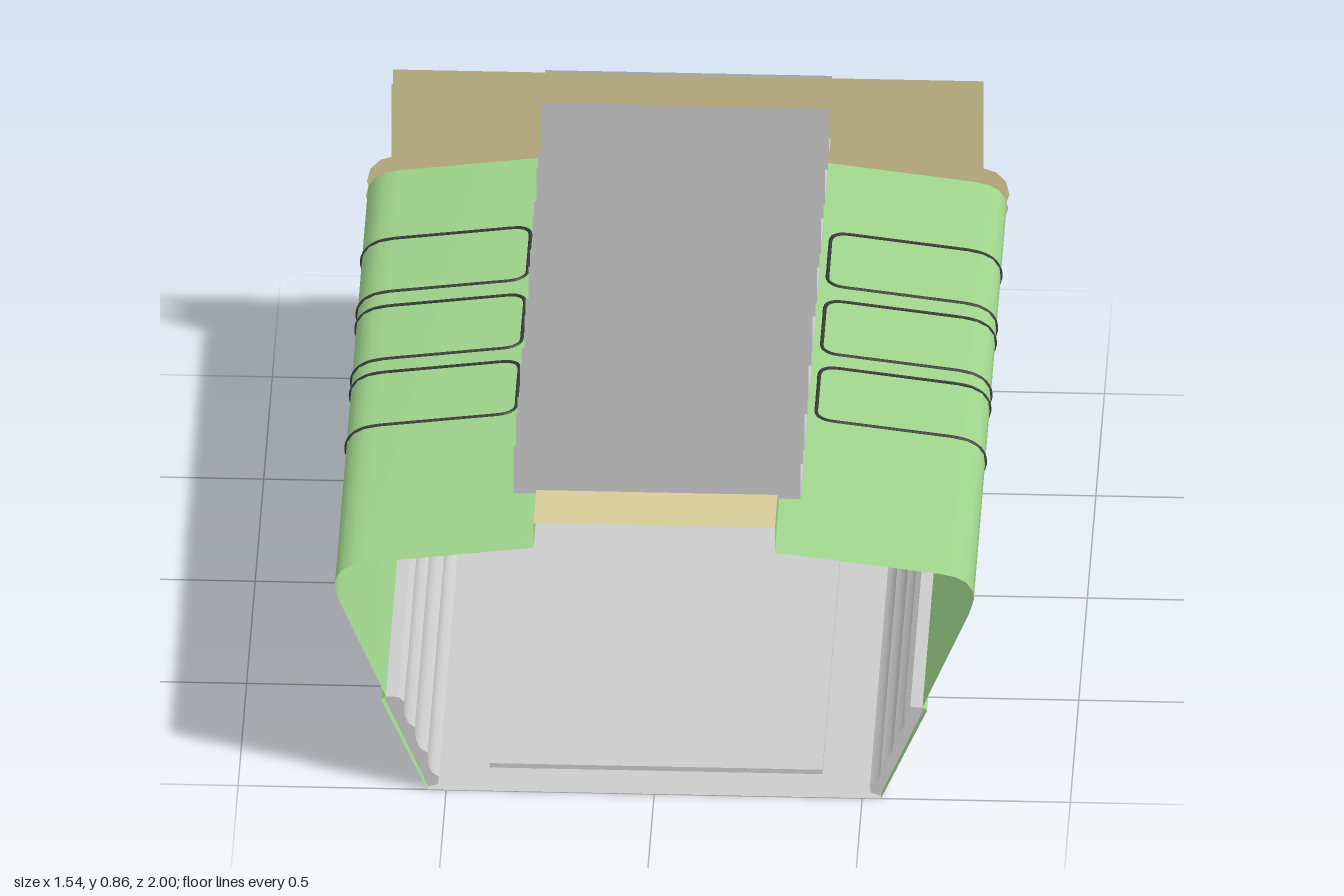
import * as THREE from 'three';
import { toCreasedNormals } from 'three/addons/utils/BufferGeometryUtils.js';

const mat = (color, side = THREE.FrontSide) => new THREE.MeshStandardMaterial({ color, side });
const GREY = mat(0xcccccc), GREY2 = mat(0xcccccc, THREE.DoubleSide);
const GREEN = mat(0x9fd58c, THREE.DoubleSide), TAN = mat(0xd8cd98, THREE.DoubleSide), DARK = mat(0x3a3d3a);

const FRONT = 1, BACK = -0.92;

function add(parent, name, geometry, material, x = 0, y = 0, z = 0) {
  const m = new THREE.Mesh(geometry, material);
  m.name = name;
  m.position.set(x, y, z);
  parent.add(m);
  return m;
}

// open sheet: an xy profile swept along z
function sheet(pts, z0, z1) {
  const pos = [], idx = [];
  pts.forEach(([x, y], i) => {
    pos.push(x, y, z0, x, y, z1);
    if (i) { const a = 2 * i - 2; idx.push(a, a + 1, a + 2, a + 1, a + 3, a + 2); }
  });
  const g = new THREE.BufferGeometry();
  g.setAttribute('position', new THREE.Float32BufferAttribute(pos, 3));
  g.setIndex(idx);
  return toCreasedNormals(g, 0.6);
}

const shapeOf = pts => new THREE.Shape(pts.map(p => new THREE.Vector2(...p)));

// solid prism: closed xy outline between two z positions
function prism(pts, z0, z1) {
  const g = new THREE.ExtrudeGeometry(shapeOf(pts), { depth: z1 - z0, bevelEnabled: false });
  return toCreasedNormals(g.translate(0, 0, z0), 0.7);
}

const flip = pts => pts.map(([x, y]) => [-x, y]).reverse();

// half of the hull section, from roof edge to floor
const HULL = [[0.29, 0.74], [0.29, 0.672], [0.69, 0.622], [0.725, 0.614], [0.75, 0.6], [0.765, 0.578],
  [0.768, 0.552], [0.757, 0.515], [0.645, 0.255], [0.656, 0.245], [0.545, 0]];
// part of the hull covered by the windows
const WINDOW = [[0.36, 0.663], ...HULL.slice(2, 8), [0.683, 0.34]];

// inner panel of a window, following the hull
function linerOutline() {
  const t = 0.018;
  const inner = WINDOW.map(([x, y], i) => {
    const a = WINDOW[Math.max(i - 1, 0)], b = WINDOW[Math.min(i + 1, WINDOW.length - 1)];
    const dx = b[0] - a[0], dy = b[1] - a[1], l = Math.hypot(dx, dy);
    return [x + dy / l * t, y - dx / l * t];
  });
  return [...WINDOW.map(([x, y]) => [x - 0.003, y - 0.002]), ...inner.reverse()];
}

// rounded seam around a window, wrapped over the hull
function seam(z0, z1) {
  const path = new THREE.CurvePath();
  for (let i = 1; i < WINDOW.length; i++)
    path.add(new THREE.LineCurve3(new THREE.Vector3(...WINDOW[i - 1], 0), new THREE.Vector3(...WINDOW[i], 0)));
  const len = path.getLength(), r = 0.045;
  const outline = new THREE.Shape();
  outline.moveTo(r, z0).lineTo(len - r, z0).quadraticCurveTo(len, z0, len, z0 + r)
    .lineTo(len, z1 - r).quadraticCurveTo(len, z1, len - r, z1)
    .lineTo(r, z1).quadraticCurveTo(0, z1, 0, z1 - r)
    .lineTo(0, z0 + r).quadraticCurveTo(0, z0, r, z0);
  const pts = outline.getSpacedPoints(80).slice(0, 80).map(p => {
    const v = path.getPointAt(THREE.MathUtils.clamp(p.x / len, 0, 1));
    return v.setZ(p.y);
  });
  return new THREE.TubeGeometry(new THREE.CatmullRomCurve3(pts, true), 160, 0.005, 5, true);
}

function buildSide(s) {
  const side = new THREE.Group();
  side.name = s > 0 ? 'leftSide' : 'rightSide';
  const m = pts => (s > 0 ? pts : flip(pts));
  add(side, 'hullSide', sheet(m(HULL), BACK, FRONT), GREEN);

  // padded lower wall with three rounded ridges
  const pad = [[0.65, 0.248], [0.615, 0.248], [0.601, 0.235], [0.601, 0.2], [0.592, 0.178], [0.576, 0.165],
    [0.573, 0.13], [0.563, 0.108], [0.545, 0.095], [0.543, 0.06], [0.535, 0.042], [0.518, 0.03], [0.52, 0.01], [0.543, 0.003]];
  add(side, 'ridgedWallPad', prism(m(pad), BACK + 0.01, FRONT - 0.01), GREY);

  // three wraparound windows
  for (const z of [0.2, -0.125, -0.455]) {
    add(side, 'windowPanel', prism(m(linerOutline()), z - 0.125, z + 0.125), GREY);
    const g = seam(z - 0.13, z + 0.13);
    if (s < 0) g.rotateY(Math.PI).translate(0, 0, 2 * z);
    add(side, 'windowSeam', g, DARK);
  }

  // joint in the lower hull plates
  const joint = new THREE.LineCurve3(new THREE.Vector3(s * 0.655, 0.244, 0.04), new THREE.Vector3(s * 0.546, 0.002, 0.04));
  add(side, 'plateJoint', new THREE.TubeGeometry(joint, 1, 0.003, 4), DARK);
  return side;
}

// end frame: two thin collars joined by a web around the doorway
function buildFrame() {
  const frame = new THREE.Group();
  frame.name = 'endFrame';
  const outer = [[0.71, 0.86], [0.71, 0.62], [0.74, 0.61], [0.764, 0.585], [0.772, 0.55], [0.76, 0.51], [0.53, 0]];
  const door = [[0.355, 0.6], [0.39, 0.57], [0.66, 0.57], [0.69, 0.562], [0.707, 0.54], [0.708, 0.51],
    [0.52, 0.08], [0.505, 0.05], [0.48, 0.032], [0.45, 0.027]];
  const loop = [...door, ...flip(door)];
  const collar = shapeOf([...outer, ...flip(outer)]);
  collar.holes.push(new THREE.Path(loop.map(p => new THREE.Vector2(...p))));
  for (const z of [BACK, -0.99]) add(frame, 'collar', new THREE.ShapeGeometry(collar), TAN, 0, 0, z);
  add(frame, 'doorwayWeb', sheet([...loop, loop[0]], -0.99, BACK), TAN);
  return frame;
}

// roof rib: shallow trough between two upright fins
function buildRib(z) {
  const rib = new THREE.Group();
  rib.name = 'roofRib';
  const trough = [[-0.08, 0.738], [-0.06, 0.727], [-0.037, 0.722], [0.037, 0.722], [0.06, 0.727], [0.08, 0.738],
    [0.06, 0.736], [0.037, 0.733], [-0.037, 0.733], [-0.06, 0.736]];
  add(rib, 'trough', prism(trough, -0.345, 0.345).rotateY(Math.PI / 2), GREY, 0, 0, z);
  for (const s of [-1, 1])
    add(rib, 'fin', new THREE.PlaneGeometry(0.69, 0.13), GREY2, 0, 0.796, z + s * 0.08);
  return rib;
}

export function createModel() {
  const model = new THREE.Group();
  model.name = 'corridorSection';
  model.add(buildSide(1), buildSide(-1), buildFrame());

  // roof strip and floor
  add(model, 'roofStrip', sheet([[-0.29, 0.741], [0.29, 0.741]], BACK, FRONT), TAN);
  add(model, 'floor', sheet([[-0.545, 0], [0.545, 0]], BACK, FRONT), GREY2);
  add(model, 'floorPanel', new THREE.BoxGeometry(0.8, 0.012, 1.7), GREY, 0, 0.008, 0.04);

  // eight ribs along the roof
  for (let i = 0; i < 8; i++) model.add(buildRib(0.76 - i * 0.24));

  // ceiling fitting above the doorway
  add(model, 'ceilingFitting', new THREE.BoxGeometry(0.44, 0.022, 0.13), TAN, 0, 0.711, -0.85);
  add(model, 'ceilingFittingCover', new THREE.BoxGeometry(0.36, 0.01, 0.1), GREY, 0, 0.696, -0.85);
  return model;
}
